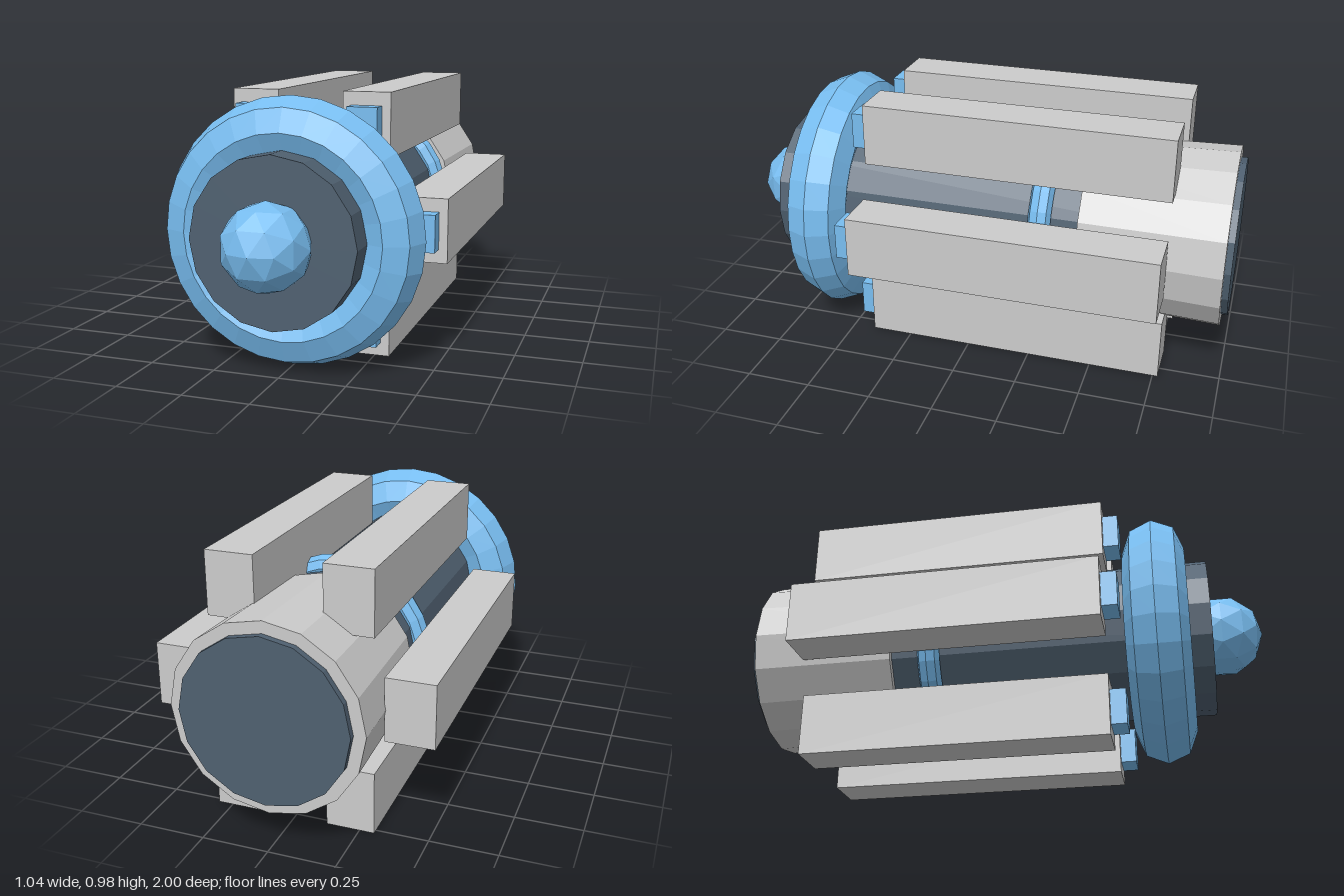
import * as THREE from 'three';

const AXIS_Y = 0.493; // height of the central axis

export function createModel() {
  const model = new THREE.Group();
  const body = new THREE.Group();
  body.name = 'body';
  body.position.y = AXIS_Y;
  model.add(body);

  const material = (color) => new THREE.MeshStandardMaterial({ color, flatShading: true });
  const blue = material(0x78bdf0);
  const dark = material(0x4f6070);
  const grey = material(0xcccccc);

  const add = (name, geometry, mat, x, y, z) => {
    const mesh = new THREE.Mesh(geometry, mat);
    mesh.name = name;
    mesh.position.set(x, y, z);
    body.add(mesh);
  };
  // Cylinder lying along z between two depths
  const barrel = (front, back, rFront, rBack) =>
    new THREE.CylinderGeometry(rFront, rBack, front - back, 16)
      .rotateX(Math.PI / 2)
      .translate(0, 0, (front + back) / 2);

  // Central shaft and rear sleeve
  add('core', barrel(0.8, -1, 0.308, 0.308), dark, 0, 0, 0);
  add('rearSleeve', barrel(-0.43, -0.975, 0.335, 0.352), grey, 0, 0, 0);

  // Large front ring and thin middle ring
  add('frontRing', new THREE.TorusGeometry(0.37, 0.12, 8, 28), blue, 0, 0, 0.6);
  add('middleRing', new THREE.TorusGeometry(0.315, 0.044, 8, 28), blue, 0, 0, -0.281);

  // Faceted nose
  add('nose', new THREE.IcosahedronGeometry(0.16, 1).rotateX(Math.PI / 2), blue, 0, 0, 0.84);

  // Six upright-set bars around the shaft, each with a small tip
  const barGeometry = new THREE.BoxGeometry(0.18, 0.238, 1.18);
  const tipGeometry = new THREE.BoxGeometry(0.115, 0.138, 0.12);
  for (let i = 0; i < 6; i++) {
    const angle = (i * Math.PI) / 3;
    const x = 0.431 * Math.cos(angle);
    const y = 0.431 * Math.sin(angle);
    add('bar' + (i + 1), barGeometry, grey, x, y, -0.18);
    add('barTip' + (i + 1), tipGeometry, blue, x, y, 0.41);
  }

  return model;
}
